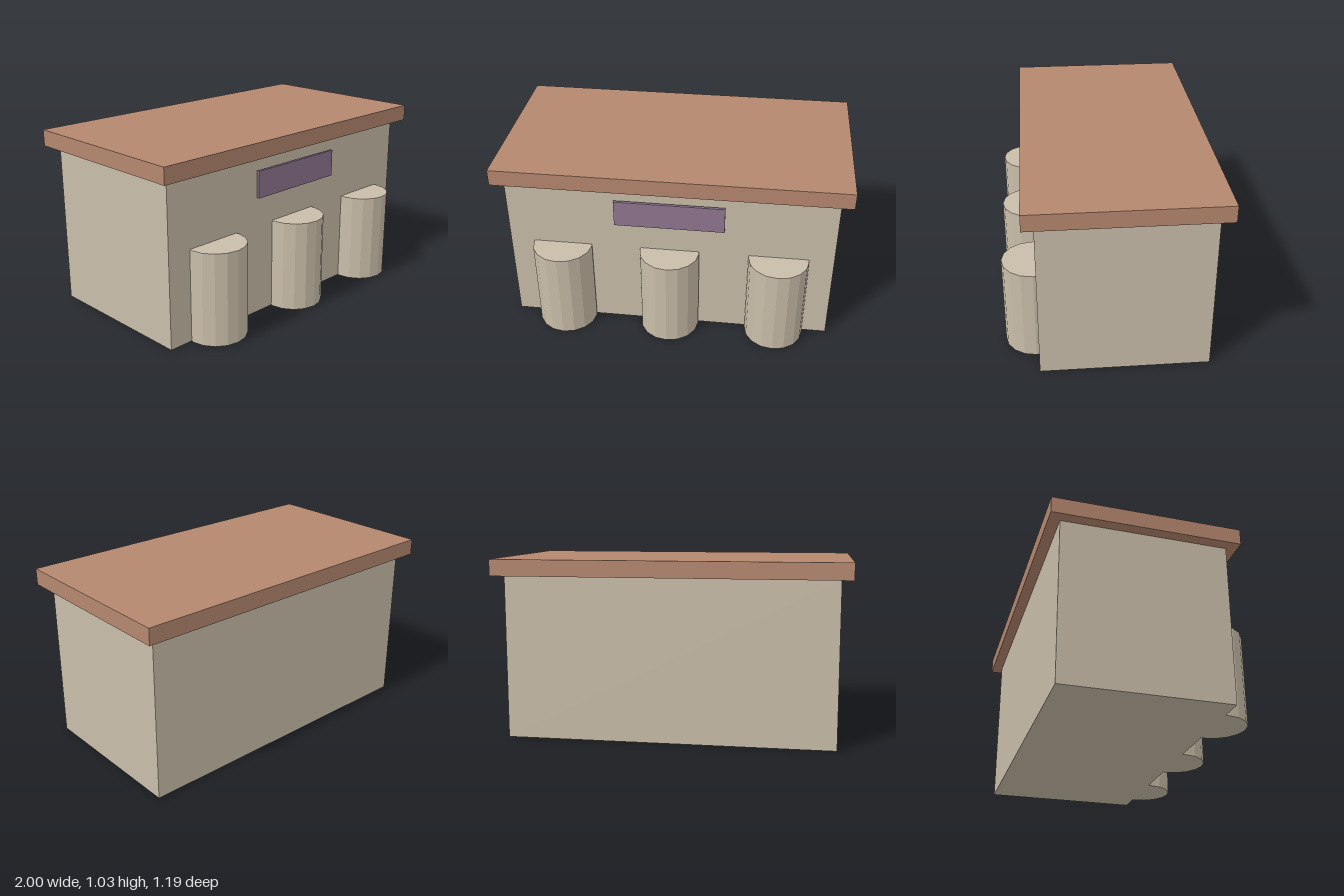
import * as THREE from 'three';

const U = 1 / 32; // modelling unit

const paint = (name, color) => {
  const m = new THREE.MeshStandardMaterial({ color });
  m.name = name;
  return m;
};

export function createModel() {
  const stone = paint('beige stone', 0xc9bda9);
  const clay = paint('clay roof', 0xb5876f);
  const plum = paint('plum sign', 0x8f7691);

  const model = new THREE.Group();
  model.name = 'building';

  const add = (name, geometry, material, x, y, z) => {
    const mesh = new THREE.Mesh(geometry, material);
    mesh.name = name;
    mesh.position.set(x * U, y * U, z * U);
    model.add(mesh);
  };
  const box = (w, h, d) => new THREE.BoxGeometry(w * U, h * U, d * U);

  // Main block and overhanging flat roof
  add('walls', box(60, 30, 30), stone, 0, 15, -2);
  add('roof', box(64, 3, 34), clay, 0, 31.5, -2);

  // Sign board standing just clear of the front wall
  add('sign', box(20, 5, 0.5), plum, 0, 25, 13.8);

  // Three faceted round bays sunk into the front wall
  const bay = new THREE.CylinderGeometry(5.5 * U, 5.5 * U, 17 * U, 16).toNonIndexed();
  bay.computeVertexNormals();
  ['rightBay', 'middleBay', 'leftBay'].forEach((name, i) => {
    add(name, bay, stone, (i - 1) * 20, 8.5, 13.5);
  });

  return model;
}
